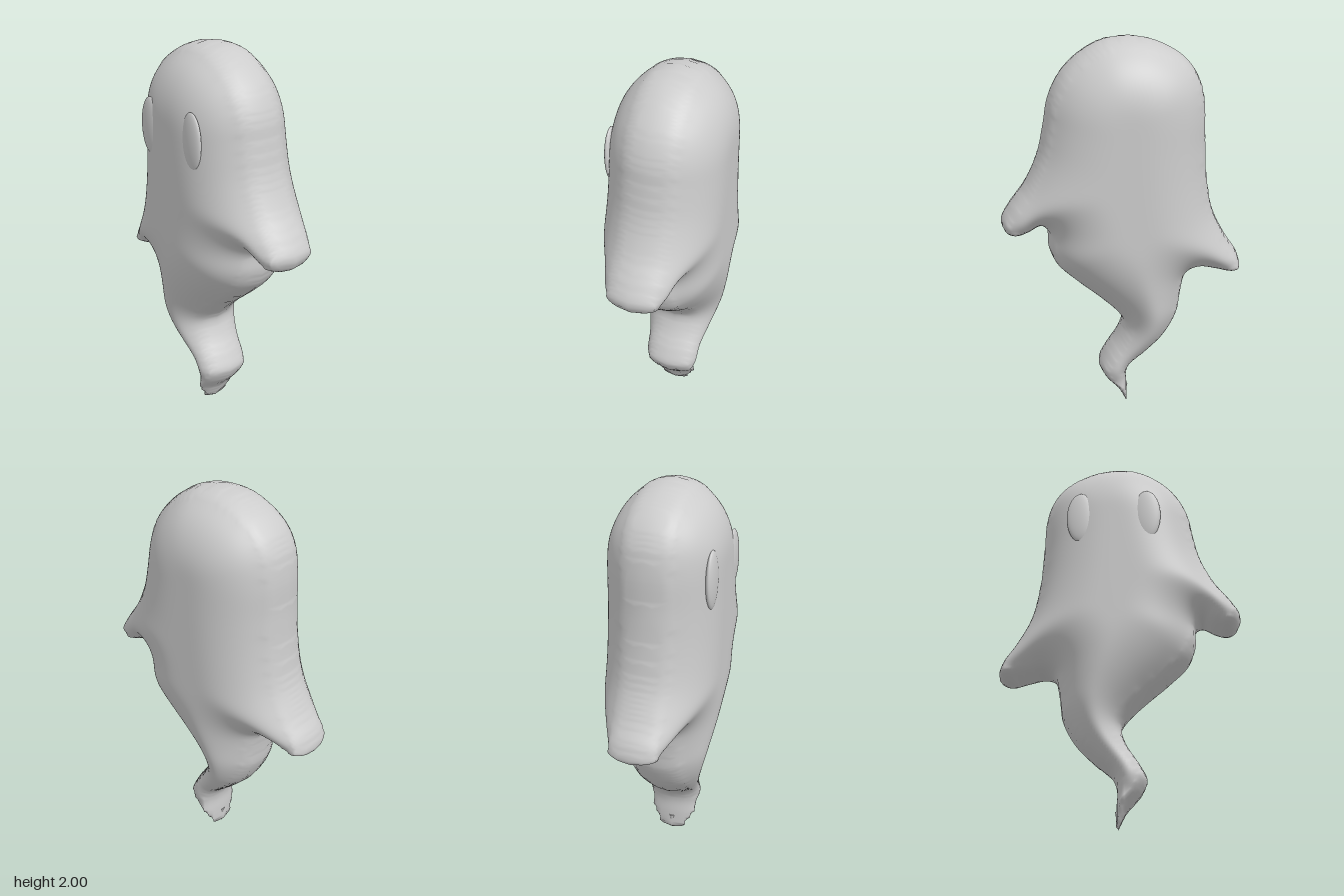
import * as THREE from 'three';

// Silhouette of the ghost, clockwise from the crown
const OUTLINE = [
  [-0.02, 2.0], [0.1, 1.985], [0.22, 1.92], [0.31, 1.83], [0.37, 1.71], [0.395, 1.58], [0.43, 1.43],
  [0.5, 1.28], [0.58, 1.17], [0.622, 1.09], [0.6, 1.03], [0.55, 1.01], [0.48, 1.03], [0.42, 1.06],
  [0.39, 1.03], [0.385, 0.94], [0.35, 0.85], [0.25, 0.75], [0.12, 0.64], [0.03, 0.55], [0.005, 0.5],
  [0.03, 0.42], [0.1, 0.31], [0.13, 0.24], [0.1, 0.17], [0.03, 0.09], [-0.02, 0], [-0.022, 0.1],
  [-0.018, 0.19], [-0.04, 0.25], [-0.12, 0.32], [-0.22, 0.42], [-0.29, 0.55], [-0.31, 0.68],
  [-0.335, 0.77], [-0.39, 0.795], [-0.48, 0.78], [-0.57, 0.76], [-0.62, 0.78], [-0.61, 0.85],
  [-0.54, 0.96], [-0.47, 1.1], [-0.435, 1.26], [-0.418, 1.45], [-0.412, 1.65], [-0.385, 1.78],
  [-0.32, 1.88], [-0.22, 1.95], [-0.12, 1.988],
];
const DEPTH = 0.285;  // half thickness
const ROUND = 0.34;   // distance from the rim where full thickness is reached
const CELL = 0.0125;

// Closest rim point, distance and inside test for a point
function probe(px, py, rim) {
  let best = Infinity, cx = 0, cy = 0, inside = false;
  for (let i = 0, j = rim.length - 1; i < rim.length; j = i++) {
    const a = rim[j], b = rim[i];
    const ex = b.x - a.x, ey = b.y - a.y;
    const t = THREE.MathUtils.clamp(((px - a.x) * ex + (py - a.y) * ey) / (ex * ex + ey * ey || 1), 0, 1);
    const qx = a.x + ex * t, qy = a.y + ey * t;
    const d = (px - qx) ** 2 + (py - qy) ** 2;
    if (d < best) { best = d; cx = qx; cy = qy; }
    if ((a.y > py) !== (b.y > py) && px < a.x + (ex * (py - a.y)) / ey) inside = !inside;
  }
  return { d: Math.sqrt(best), cx, cy, inside };
}

// Inflates the silhouette into a smooth, closed pillow
function inflatedGeometry() {
  const curve = new THREE.CatmullRomCurve3(OUTLINE.map(([x, y]) => new THREE.Vector3(x, y, 0)), true, 'centripetal');
  const rim = curve.getPoints(OUTLINE.length * 6).slice(0, -1);
  const nx = Math.ceil(1.3 / CELL), ny = Math.ceil(2.06 / CELL);
  const id = (i, j) => j * (nx + 1) + i;
  const nodes = [];
  for (let j = 0; j <= ny; j++) {
    for (let i = 0; i <= nx; i++) {
      const x = -0.65 + i * CELL, y = -0.03 + j * CELL;
      const p = probe(x, y, rim);
      const solid = p.inside && p.d > CELL * 0.3;
      const u = Math.min(p.d / ROUND, 1);
      nodes.push(solid
        ? { x, y, z: DEPTH * Math.sqrt(1 - (1 - u) ** 2), d: p.d, solid }
        : { x: p.cx, y: p.cy, z: 0, d: 0, solid });
    }
  }

  // Soften the ridges along the middle of the limbs
  const row = nx + 1;
  for (let pass = 0; pass < 14; pass++) {
    const next = nodes.map((n, k) => (n.d > 0.035
      ? (nodes[k - 1].z + nodes[k + 1].z + nodes[k - row].z + nodes[k + row].z) / 4
      : n.z));
    nodes.forEach((n, k) => { n.z = next[k]; });
  }

  // Front and back sheets share their rim vertices
  const position = [], index = [];
  for (const n of nodes) {
    n.front = n.back = -1;
  }
  const vertex = (n, side) => {
    const key = side > 0 || !n.solid ? 'front' : 'back';
    if (n[key] < 0) {
      n[key] = position.length / 3;
      position.push(n.x, n.y, n.z * side);
    }
    return n[key];
  };
  const triangle = (a, b, c) => {
    if (!a.solid && !b.solid && !c.solid) return;
    index.push(vertex(a, 1), vertex(b, 1), vertex(c, 1));
    index.push(vertex(a, -1), vertex(c, -1), vertex(b, -1));
  };
  for (let j = 0; j < ny; j++) {
    for (let i = 0; i < nx; i++) {
      const a = nodes[id(i, j)], b = nodes[id(i + 1, j)];
      const c = nodes[id(i + 1, j + 1)], d = nodes[id(i, j + 1)];
      if (a.solid === c.solid && (a.solid || !b.solid || !d.solid)) {
        triangle(a, b, c);
        triangle(a, c, d);
      } else {
        triangle(a, b, d);
        triangle(b, c, d);
      }
    }
  }
  const geometry = new THREE.BufferGeometry();
  geometry.setAttribute('position', new THREE.Float32BufferAttribute(position, 3));
  geometry.setIndex(index);
  geometry.computeVertexNormals();
  return geometry;
}

export function createModel() {
  const group = new THREE.Group();
  group.name = 'ghost';
  const grey = new THREE.MeshStandardMaterial({ color: 0xcccccc });
  grey.name = 'light grey';

  // Body with both arms and the curling tail
  const body = new THREE.Mesh(inflatedGeometry(), grey);
  body.name = 'body';
  group.add(body);

  // Tail tip
  const tip = new THREE.Mesh(new THREE.ConeGeometry(0.016, 0.09, 12), grey);
  tip.name = 'tailTip';
  tip.rotation.x = Math.PI;
  tip.position.set(-0.012, 0.045, 0);
  group.add(tip);

  // Flat oval eyes, partly sunk into the face
  for (const [name, x] of [['rightEye', -0.19], ['leftEye', 0.155]]) {
    const eye = new THREE.Mesh(new THREE.SphereGeometry(1, 40, 28), grey);
    eye.name = name;
    eye.scale.set(0.072, 0.145, 0.024);
    eye.position.set(x, 1.585, 0.26);
    group.add(eye);
  }
  return group;
}
